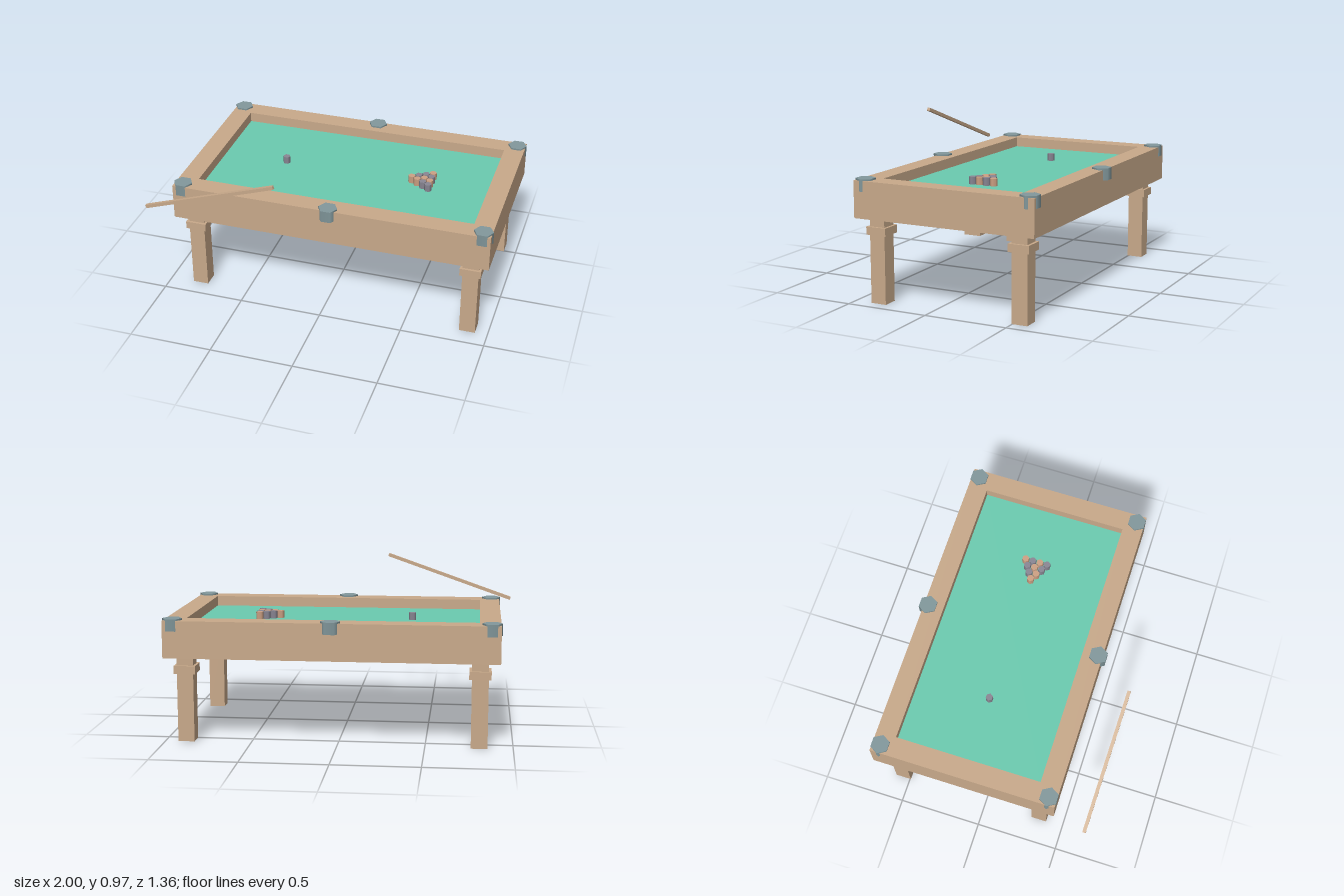
import * as THREE from 'three';

const material = (name, color) => {
  const m = new THREE.MeshStandardMaterial({ color });
  m.name = name;
  return m;
};

export function createModel() {
  const wood = material('wood', 0xc8a98a);
  const felt = material('greenFelt', 0x6bcbb0);
  const metal = material('pocketMetal', 0x82989c);
  const greyBall = material('greyBall', 0x8a8794);
  const tanBall = material('tanBall', 0xcda184);

  const model = new THREE.Group();
  model.name = 'poolTable';
  const CX = 0.035, CZ = -0.1025; // table centre

  const add = (name, geometry, mat, x, y, z, parent = model) => {
    const mesh = new THREE.Mesh(geometry, mat);
    mesh.name = name;
    mesh.position.set(x, y, z);
    parent.add(mesh);
    return mesh;
  };
  const box = (w, h, d) => new THREE.BoxGeometry(w, h, d);
  // six-sided prism with corners pointing along x
  const hexPrism = (r, h) =>
    new THREE.CylinderGeometry(r, r, h, 6, 1, false, Math.PI / 6).toNonIndexed();

  const rectangle = (Type, w, d) => {
    const s = new Type();
    s.moveTo(-w / 2, -d / 2);
    s.lineTo(w / 2, -d / 2);
    s.lineTo(w / 2, d / 2);
    s.lineTo(-w / 2, d / 2);
    s.closePath();
    return s;
  };

  // Rim: a frame around the sunken playing field
  const outline = rectangle(THREE.Shape, 1.91, 1.115);
  outline.holes.push(rectangle(THREE.Path, 1.67, 0.875));
  const rim = new THREE.ExtrudeGeometry(outline, { depth: 0.215, bevelEnabled: false });
  rim.rotateX(-Math.PI / 2);
  add('rim', rim, wood, CX, 0.5, CZ);

  // Bed closing the frame, with the felt on top
  add('bed', box(1.67, 0.147, 0.875), wood, CX, 0.5735, CZ);
  add('felt', box(1.67, 0.008, 0.875), felt, CX, 0.651, CZ);
  add('underBeam', box(1.67, 0.05, 0.095), wood, CX, 0.475, -0.2275);

  // Legs with collars
  for (const sx of [-1, 1]) {
    for (const sz of [-1, 1]) {
      const leg = new THREE.Group();
      leg.name = 'leg';
      leg.position.set(CX + sx * 0.8425, 0, -0.0975 + sz * 0.445);
      add('legPost', box(0.095, 0.5, 0.095), wood, 0, 0.25, 0, leg);
      add('legCollar', box(0.125, 0.046, 0.125), wood, 0, 0.423, 0, leg);
      model.add(leg);
    }
  }

  // Pockets: four corners and two at the middle of the long sides
  for (const sx of [-1, 0, 1]) {
    for (const sz of [-1, 1]) {
      const dz = sx === 0 ? 0.5325 : 0.5095;
      add('pocket', hexPrism(0.057, 0.07), metal, CX + sx * 0.905, 0.69, CZ + sz * dz);
    }
  }

  // Racked balls, row by row from the apex (T tan, G grey), and the cue ball
  const ball = hexPrism(0.022, 0.044);
  ['T', 'GT', 'GTG', 'TGTG'].forEach((row, i) => {
    [...row].forEach((c, j) => {
      add('ball', ball, c === 'T' ? tanBall : greyBall,
        0.395 + i * 0.0385, 0.677, -0.105 + (j - i / 2) * 0.045);
    });
  });
  add('cueBall', ball, greyBall, -0.4, 0.677, -0.105);

  // Cue stick, tilted up towards +x
  const cue = add('cueStick', box(0.84, 0.02, 0.02), wood, -0.6, 0.819, 0.662);
  cue.rotation.set(0, -0.02, 0.334);

  return model;
}
